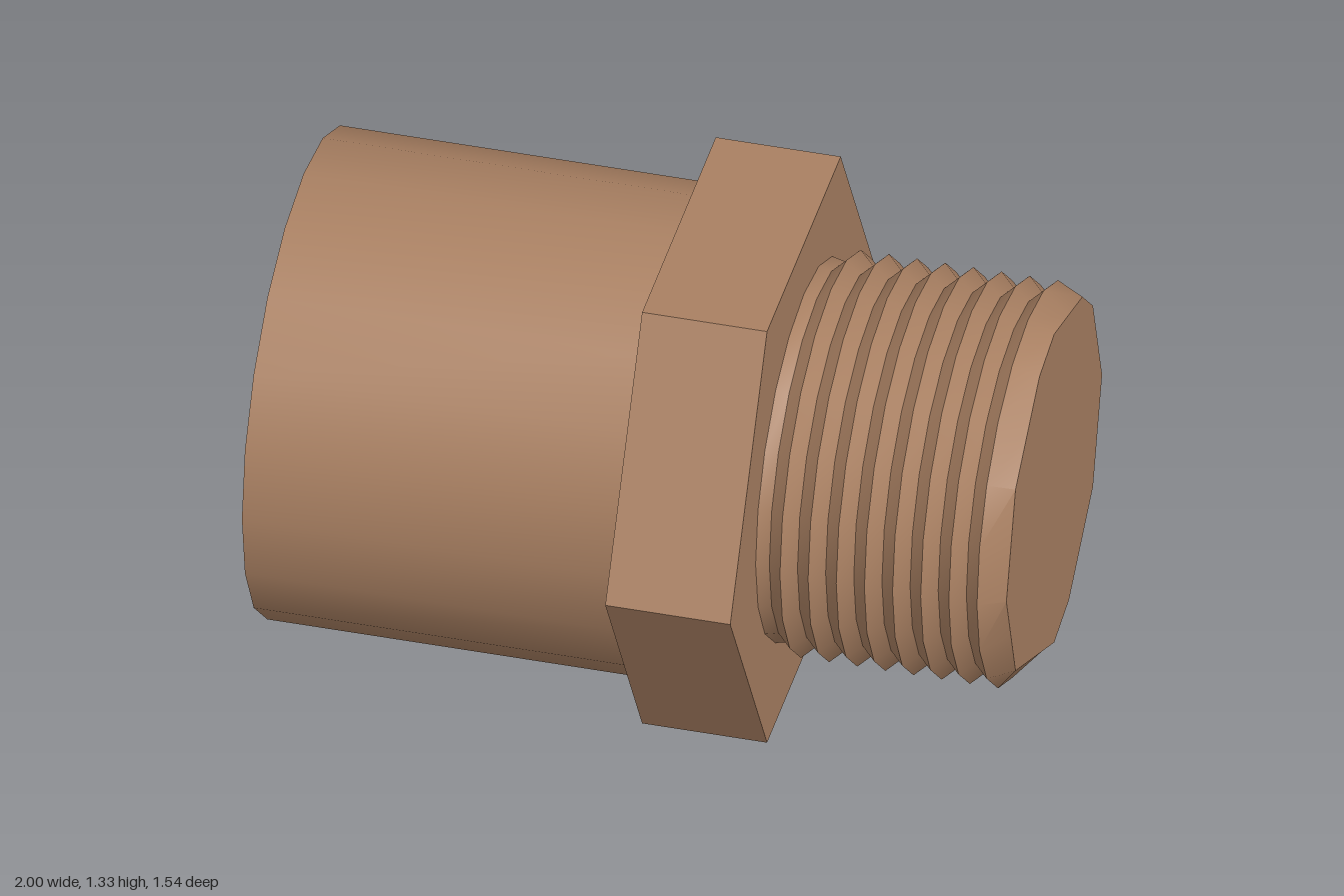
import * as THREE from 'three';
import { toCreasedNormals } from 'three/addons/utils/BufferGeometryUtils.js';

const SIDES = 20;
const CREASE = Math.PI / 6;

// Turn a profile of [radius, x] pairs around the x axis
function turned(profile) {
  const points = profile.map(([r, x]) => new THREE.Vector2(r, x));
  return new THREE.LatheGeometry(points, SIDES).rotateZ(-Math.PI / 2);
}

// Cut the end ring down to a few corners, with straight chords between them
function facetEnd(geometry, endX, radius, corners) {
  const position = geometry.attributes.position;
  const step = (Math.PI * 2) / SIDES;
  const corner = (k) => [Math.cos(k * step) * radius, Math.sin(k * step) * radius];
  for (let i = 0; i < position.count; i++) {
    const y = position.getY(i), z = position.getZ(i);
    if (Math.abs(position.getX(i) - endX) > 1e-4 || Math.hypot(y, z) < 0.01) continue;
    const k = (Math.round(Math.atan2(y, z) / step) + SIDES) % SIDES;
    const a = Math.max(...corners.filter((c) => c <= k));
    const b = Math.min(SIDES, ...corners.filter((c) => c > k));
    const t = (k - a) / (b - a);
    const [za, ya] = corner(a), [zb, yb] = corner(b);
    position.setZ(i, za + (zb - za) * t);
    position.setY(i, ya + (yb - ya) * t);
  }
  return geometry;
}

export function createModel() {
  const copper = new THREE.MeshStandardMaterial({ color: 0xa98062 });
  copper.name = 'copper brown';
  const model = new THREE.Group();
  model.name = 'pipeFitting';

  const add = (name, geometry) => {
    const mesh = new THREE.Mesh(geometry, copper);
    mesh.name = name;
    mesh.position.y = 0.667;
    model.add(mesh);
  };

  // Hollow socket: bore, rim and outer wall; the nut closes the bore
  const socket = turned([[0.535, 0], [0.535, -1], [0.645, -1], [0.645, 0]]);
  add('socket', toCreasedNormals(socket, CREASE));

  // Hexagonal nut with flat top and bottom
  const nut = new THREE.CylinderGeometry(0.77, 0.77, 0.333, 6)
    .rotateZ(-Math.PI / 2)
    .translate(0.1665, 0, 0);
  add('hexNut', toCreasedNormals(nut, CREASE));

  // Threaded end: eight V-shaped ridges, then a chamfer and a flat cap
  const profile = [[0.505, 0.333]];
  const pitch = 0.075;
  for (let i = 0; i < 8; i++) {
    const crest = 0.405 + i * pitch;
    profile.push([0.497, crest - pitch / 2], [0.533, crest]);
  }
  profile.push([0.5, 1], [0, 1]);
  const thread = facetEnd(turned(profile), 1, 0.5, [0, 2, 4, 5, 7, 8, 10, 12, 14, 15, 18]);
  add('threadedEnd', toCreasedNormals(thread, CREASE));

  return model;
}
